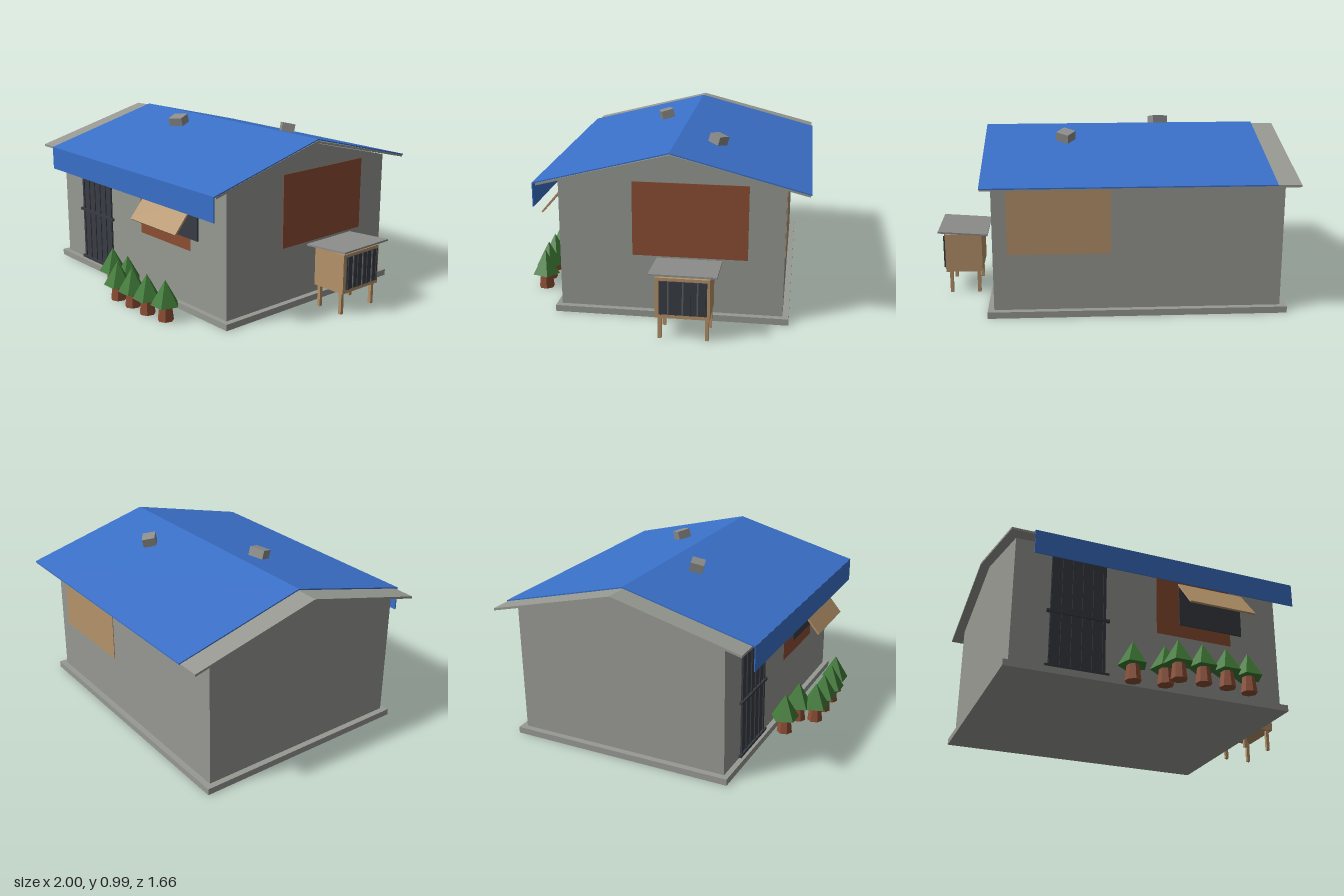
import * as THREE from 'three';

const mat = (name, color) => Object.assign(new THREE.MeshStandardMaterial({ color }), { name });

export function createModel() {
  const root = new THREE.Group();
  root.name = 'house';
  const concrete = mat('concrete grey', 0x979992);
  const stone = mat('stone grey', 0x8d8e8c);
  const tarpBlue = mat('tarp blue', 0x3a70c8);
  const brick = mat('brick brown', 0x8c4e34);
  const wood = mat('light wood', 0xb5936a);
  const iron = mat('dark iron', 0x383d44);
  const steel = mat('bar grey', 0x5c6066);
  const leaf = mat('leaf green', 0x3f7a36);
  for (const m of [stone, brick, leaf]) m.flatShading = true;

  const add = (name, geo, material, parent = root) => {
    const mesh = new THREE.Mesh(geo, material);
    mesh.name = name;
    parent.add(mesh);
    return mesh;
  };
  // Box given by its limits on each axis
  const box = (name, [x0, x1], [y0, y1], [z0, z1], material, parent) => {
    const g = new THREE.BoxGeometry(x1 - x0, y1 - y0, z1 - z0);
    g.translate((x0 + x1) / 2, (y0 + y1) / 2, (z0 + z1) / 2);
    return add(name, g, material, parent);
  };
  // Side profile of [z, y] points swept along x
  const sweepX = (name, points, x0, x1, material, parent) => {
    const shape = new THREE.Shape(points.map(([z, y]) => new THREE.Vector2(z, y)));
    const g = new THREE.ExtrudeGeometry(shape, { depth: x1 - x0, bevelEnabled: false });
    g.rotateY(-Math.PI / 2).translate(x1, 0, 0);
    return add(name, g, material, parent);
  };

  // Foundation and gabled walls
  box('foundation', [-0.98, 0.695], [0, 0.037], [-0.735, 0.59], concrete);
  sweepX('walls', [[0.56, 0.03], [0.56, 0.78], [-0.07, 0.94], [-0.7, 0.78], [-0.7, 0.03]], -0.945, 0.66, concrete);

  // Roof slab with the tarp laid over it
  const gable = (front, back, ridge, eave, t) => [
    [front, eave], [-0.07, ridge], [back, eave], [back, eave - t], [-0.07, ridge - t], [front, eave - t]];
  sweepX('roof', gable(0.675, -0.825, 0.957, 0.768, 0.013), -1, 0.71, concrete);
  sweepX('tarp', gable(0.692, -0.832, 0.968, 0.772, 0.007), -0.872, 0.712, tarpBlue);
  box('tarpFlap', [-0.872, 0.712], [0.632, 0.771], [0.687, 0.693], tarpBlue);

  // Stones weighing the tarp down
  [[-0.325, 0.951, 0.102, 0.35, 0.252, 0.095], [0.247, 0.938, -0.29, -0.63, -0.252, 0.082]].forEach(([x, y, z, yaw, tilt, w]) => {
    const block = add('roofStone', new THREE.BoxGeometry(w, 0.052, 0.078), stone);
    block.position.set(x, y, z);
    block.rotation.set(tilt, yaw, 0);
  });

  // Barred door
  const door = new THREE.Group();
  door.name = 'door';
  root.add(door);
  box('doorPanel', [-0.735, -0.415], [0.04, 0.73], [0.558, 0.564], iron, door);
  for (let i = 0; i < 6; i++) {
    const x = -0.725 + i * 0.06;
    box('doorBar', [x - 0.008, x + 0.008], [0.04, 0.73], [0.56, 0.57], iron, door);
  }
  for (const y of [0.05, 0.37]) box('doorRail', [-0.755, -0.395], [y - 0.008, y + 0.008], [0.56, 0.576], iron, door);

  // Wall patches
  box('frontPatch', [-0.11, 0.355], [0.36, 0.765], [0.556, 0.562], brick);
  box('sidePatch', [0.656, 0.664], [0.36, 0.788], [-0.5, 0.145], brick);
  box('backPatch', [0.01, 0.58], [0.36, 0.76], [-0.704, -0.696], wood);

  // Window with a propped shutter
  box('window', [0.03, 0.425], [0.435, 0.685], [0.558, 0.57], iron);
  sweepX('shutter', [[0.565, 0.69], [0.573, 0.697], [0.731, 0.509], [0.723, 0.502]], 0.025, 0.435, wood);

  // Raised hutch beside the house
  const hutch = new THREE.Group();
  hutch.name = 'hutch';
  root.add(hutch);
  box('hutchBody', [0.75, 0.965], [0.13, 0.36], [-0.325, -0.03], wood, hutch);
  for (const x of [0.773, 0.935]) for (const z of [-0.053, -0.308])
    box('hutchLeg', [x - 0.01, x + 0.01], [0, 0.135], [z - 0.01, z + 0.01], wood, hutch);
  box('hutchDoor', [0.963, 0.971], [0.153, 0.343], [-0.31, -0.053], iron, hutch);
  for (let i = 0; i < 7; i++) {
    const z = -0.3 + i * 0.0395;
    box('hutchBar', [0.969, 0.977], [0.153, 0.343], [z - 0.004, z + 0.004], i % 2 ? steel : iron, hutch);
  }
  const lid = add('hutchRoof', new THREE.BoxGeometry(0.288, 0.01, 0.365), stone, hutch);
  lid.position.set(0.855, 0.376, -0.182);
  lid.rotation.z = 0.075;

  // Potted shrubs along the front
  const shrubs = [[-0.29, 0.65], [-0.11, 0.667], [-0.075, 0.762], [0.07, 0.762], [0.212, 0.762], [0.355, 0.742]];
  for (const [x, z] of shrubs) {
    const shrub = new THREE.Group();
    shrub.name = 'shrub';
    shrub.position.set(x, 0, z);
    root.add(shrub);
    add('pot', new THREE.CylinderGeometry(0.034, 0.046, 0.1, 7), brick, shrub).position.y = 0.05;
    const crown = add('crown', new THREE.ConeGeometry(0.084, 0.145, 5), leaf, shrub);
    crown.position.y = 0.163;
    crown.rotation.y = Math.PI / 5;
  }
  return root;
}
